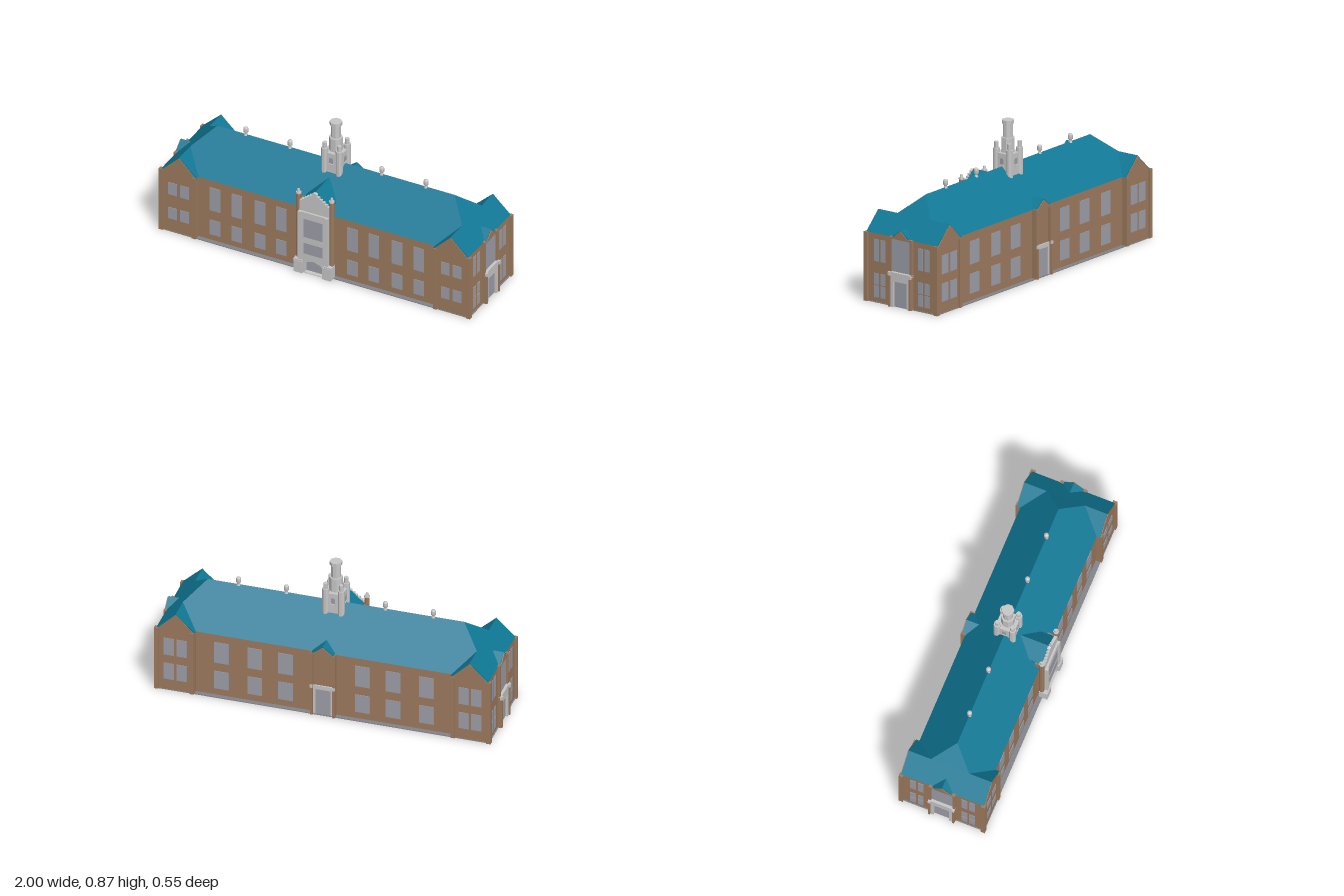
import * as THREE from 'three';

const colour = (name, hex) => {
  const m = new THREE.MeshStandardMaterial({ color: hex });
  m.name = name;
  return m;
};

export function createModel() {
  const brick = colour('brick', 0x9c7a5e);
  const roofing = colour('roofing', 0x0f7895);
  const stone = colour('stone', 0xc6c6c6);
  const glass = colour('glass', 0x9c9ea8);
  const foundation = colour('foundation', 0x808288);

  const model = new THREE.Group();
  const CZ = -0.01; // the plan is symmetric about this depth
  const EAVE = 0.402;

  const add = (parent, name, geo, mat, x = 0, y = 0, z = 0) => {
    const mesh = new THREE.Mesh(geo, mat);
    mesh.name = name;
    mesh.position.set(x, y, z);
    parent.add(mesh);
    return mesh;
  };
  const group = (name, parent = model) => {
    const g = new THREE.Group();
    g.name = name;
    parent.add(g);
    return g;
  };
  // box from its limits on each axis
  const box = (parent, name, mat, [x0, x1], [y0, y1], [z0, z1]) =>
    add(parent, name, new THREE.BoxGeometry(x1 - x0, y1 - y0, z1 - z0), mat,
      (x0 + x1) / 2, (y0 + y1) / 2, (z0 + z1) / 2);
  // the same box at +x and -x
  const pair = (parent, name, mat, [x0, x1], ys, zs) => {
    box(parent, name, mat, [x0, x1], ys, zs);
    box(parent, name, mat, [-x1, -x0], ys, zs);
  };
  // outline in x and y, extruded from z0 to z1
  const prism = (parent, name, mat, pts, z0, z1, hole) => {
    const shape = new THREE.Shape(pts.map(p => new THREE.Vector2(...p)));
    if (hole) shape.holes.push(new THREE.Path(hole.map(p => new THREE.Vector2(...p))));
    const geo = new THREE.ExtrudeGeometry(shape, { depth: z1 - z0, bevelEnabled: false });
    return add(parent, name, geo, mat, 0, 0, z0);
  };
  const gable = (parent, name, mat, cx, half, y0, y1, z0, z1) =>
    prism(parent, name, mat, [[cx - half, y0], [cx + half, y0], [cx, y1]], z0, z1);
  // octagonal post with flat sides facing the axes
  const octagon = (parent, name, mat, r, y0, y1, x, z, rTop = r) => {
    const geo = new THREE.CylinderGeometry(rTop * 1.08, r * 1.08, y1 - y0, 8).rotateY(Math.PI / 8).toNonIndexed();
    geo.computeVertexNormals();
    return add(parent, name, geo, mat, x, (y0 + y1) / 2, z);
  };

  // main block and base
  box(model, 'foundation', foundation, [-0.975, 0.975], [0, 0.004], [-0.263, 0.243]);
  box(model, 'mainWalls', brick, [-0.76, 0.76], [0.002, EAVE], [-0.235, 0.215]);

  // hipped main roof
  const a = [-0.97, EAVE, 0.22], b = [0.97, EAVE, 0.22], c = [0.97, EAVE, -0.24], d = [-0.97, EAVE, -0.24];
  const e = [-0.75, 0.61, CZ], f = [0.75, 0.61, CZ];
  const hip = new THREE.BufferGeometry();
  hip.setAttribute('position', new THREE.Float32BufferAttribute(
    [a, b, f, a, f, e, c, d, e, c, e, f, b, c, f, d, a, e, a, d, c, a, c, b].flat(), 3));
  hip.computeVertexNormals();
  add(model, 'mainRoof', hip, roofing);

  // cross wings with gabled ends
  for (const s of [-1, 1]) {
    const wing = group(s > 0 ? 'leftWing' : 'rightWing');
    const span = (p, q) => [Math.min(s * p, s * q), Math.max(s * p, s * q)];
    box(wing, 'wingWalls', brick, span(0.75, 0.97), [0.002, EAVE], [-0.26, 0.24]);
    gable(wing, 'wingRoof', roofing, s * 0.86, 0.112, EAVE, 0.506, -0.26, 0.24);
    for (const [z0, z1] of [[0.24, 0.244], [-0.264, -0.26]])
      gable(wing, 'gableWall', brick, s * 0.86, 0.108, EAVE - 0.005, 0.503, z0, z1);
    for (const [z0, z1] of [[0.225, 0.25], [-0.27, -0.245]]) {
      box(wing, 'cornerPier', brick, span(0.96, 0.985), [0, EAVE], [z0, z1]);
      box(wing, 'innerPier', brick, span(0.752, 0.775), [0, EAVE], [z0, z1]);
    }
    for (const x of [0.825, 0.9])
      for (const ys of [[0.085, 0.16], [0.245, 0.325]]) {
        box(wing, 'frontWingWindow', glass, span(x - 0.027, x + 0.027), ys, [0.238, 0.243]);
        box(wing, 'backWingWindow', glass, span(x - 0.03, x + 0.03), [ys[0] - 0.015, ys[1] + 0.015], [-0.263, -0.258]);
      }
  }

  // rows of windows on the long walls
  for (const x of [0.225, 0.36, 0.507, 0.645])
    for (const ys of [[0.04, 0.137], [0.2, 0.353]])
      pair(model, 'frontWindow', glass, [x - 0.033, x + 0.033], ys, [0.213, 0.218]);
  for (const x of [0.225, 0.405, 0.6])
    for (const ys of [[0.045, 0.16], [0.215, 0.35]])
      pair(model, 'backWindow', glass, [x - 0.043, x + 0.043], ys, [-0.238, -0.233]);

  // end facades, built facing +z then turned outward
  for (const s of [-1, 1]) {
    const end = group(s > 0 ? 'leftEnd' : 'rightEnd');
    end.position.z = CZ;
    end.rotation.y = s * Math.PI / 2;
    for (const x of [0.132, 0.178]) {
      for (const ys of [[0.03, 0.097], [0.104, 0.17], [0.24, 0.368]])
        pair(end, 'endWindow', glass, [x - 0.017, x + 0.017], ys, [0.968, 0.973]);
    }
    box(end, 'tallWindow', glass, [-0.065, 0.065], [0.205, 0.396], [0.968, 0.975]);
    box(end, 'lintel', brick, [-0.08, 0.08], [0.395, 0.406], [0.96, 0.985]);
    pair(end, 'pilaster', brick, [0.065, 0.08], [0, EAVE], [0.96, 0.985]);
    pair(end, 'doorJamb', stone, [0.047, 0.066], [0, 0.15], [0.96, 0.99]);
    box(end, 'doorHead', stone, [-0.066, 0.066], [0.15, 0.202], [0.96, 0.99]);
    box(end, 'door', glass, [-0.048, 0.048], [0.004, 0.151], [0.965, 0.978]);
    pair(end, 'buttress', brick, [0.066, 0.078], [0, 0.185], [0.97, 0.997]);
    pair(end, 'buttressCap', stone, [0.064, 0.08], [0.183, 0.204], [0.97, 1]);
    gable(end, 'endDormerRoof', roofing, 0, 0.064, EAVE, 0.453, 0.88, 0.981);
    gable(end, 'endDormerGable', brick, 0, 0.053, EAVE, 0.449, 0.979, 0.986);
  }

  // front entrance: stone bay with arched doorway and stepped gable
  const entry = group('frontEntrance');
  const arch = [[-0.055, 0.004], [-0.055, 0.06], [-0.045, 0.073], [0, 0.088], [0.045, 0.073], [0.055, 0.06], [0.055, 0.004]];
  box(entry, 'entranceWall', brick, [-0.1, 0.1], [0, 0.46], [0.19, 0.232]);
  prism(entry, 'stoneBay', stone, [[-0.092, 0], [0.092, 0], [0.092, EAVE], [-0.092, EAVE]], 0.23, 0.262, arch);
  box(entry, 'entranceDoor', glass, [-0.055, 0.055], [0.004, 0.088], [0.231, 0.236]);
  pair(entry, 'bayPilaster', stone, [0.074, 0.095], [0, EAVE], [0.25, 0.268]);
  pair(entry, 'bayPlinth', stone, [0.064, 0.118], [0, 0.075], [0.225, 0.275]);
  pair(entry, 'plinthCap', stone, [0.07, 0.12], [0.072, 0.085], [0.225, 0.273]);
  for (const ys of [[0.13, 0.2], [0.24, 0.36]])
    box(entry, 'bayWindow', glass, [-0.06, 0.06], ys, [0.26, 0.265]);
  const steps = [[0.092, EAVE], [0.092, 0.47]];
  for (let i = 0; i < 5; i++) {
    const y = 0.482 + i * 0.012;
    steps.push([0.08 - i * 0.016, y - 0.012], [0.08 - i * 0.016, y]);
  }
  const outline = [...steps, [0, 0.54], ...steps.map(([x, y]) => [-x, y]).reverse()];
  prism(entry, 'steppedGable', stone, outline, 0.232, 0.25);
  gable(entry, 'entranceRoof', roofing, 0, 0.092, 0.46, 0.541, 0.05, 0.235);
  pair(entry, 'dormerCheek', roofing, [0.085, 0.09], [0.39, 0.463], [0.12, 0.232]);
  for (const x of [-0.105, 0.105]) {
    octagon(entry, 'entrancePier', brick, 0.013, 0.08, 0.505, x, 0.237);
    octagon(entry, 'pierCap', stone, 0.015, 0.503, 0.512, x, 0.237);
    octagon(entry, 'pierFinial', stone, 0.01, 0.51, 0.532, x, 0.237, 0.006);
  }

  // back entrance
  const back = group('backEntrance');
  box(back, 'backBay', brick, [-0.065, 0.065], [0, EAVE], [-0.25, -0.23]);
  pair(back, 'backPier', brick, [0.056, 0.073], [0, EAVE], [-0.267, -0.23]);
  box(back, 'backLintel', brick, [-0.073, 0.073], [0.392, 0.406], [-0.262, -0.23]);
  pair(back, 'backDoorJamb', stone, [0.044, 0.057], [0, 0.17], [-0.258, -0.24]);
  box(back, 'backDoorHead', stone, [-0.057, 0.057], [0.165, 0.19], [-0.258, -0.24]);
  box(back, 'backDoor', glass, [-0.045, 0.045], [0.004, 0.166], [-0.254, -0.249]);
  pair(back, 'backButtress', brick, [0.058, 0.071], [0, 0.18], [-0.272, -0.24]);
  pair(back, 'backButtressCap', stone, [0.056, 0.073], [0.178, 0.196], [-0.273, -0.24]);
  gable(back, 'backDormerRoof', roofing, 0, 0.072, EAVE, 0.453, -0.26, -0.15);
  gable(back, 'backDormerGable', brick, 0, 0.06, EAVE, 0.448, -0.265, -0.259);

  // central tower
  const tower = group('tower');
  tower.position.z = CZ;
  box(tower, 'towerShaft', stone, [-0.056, 0.056], [0.5, 0.685], [-0.056, 0.056]);
  for (const x of [-0.046, 0.046])
    for (const z of [-0.046, 0.046]) {
      octagon(tower, 'cornerTurret', stone, 0.019, 0.5, 0.71, x, z);
      octagon(tower, 'turretPinnacle', stone, 0.012, 0.7, 0.746, x, z);
    }
  octagon(tower, 'towerDrum', stone, 0.036, 0.68, 0.77, 0, 0);
  octagon(tower, 'lantern', stone, 0.026, 0.765, 0.852, 0, 0);
  octagon(tower, 'lanternCap', stone, 0.033, 0.85, 0.871, 0, 0);
  for (let i = 0; i < 4; i++) {
    const face = group('towerFace', tower);
    face.rotation.y = i * Math.PI / 2;
    prism(face, 'towerWindow', glass, [[-0.012, 0.622], [0.012, 0.622], [0.012, 0.65], [0.008, 0.657], [-0.008, 0.657], [-0.012, 0.65]], 0.055, 0.059);
    box(face, 'towerSill', stone, [-0.014, 0.014], [0.612, 0.62], [0.055, 0.062]);
  }

  // ridge ventilators
  const ventProfile = [[0.012, 0], [0.008, 0.012], [0.008, 0.018], [0.014, 0.021], [0.014, 0.043], [0.01, 0.051], [0, 0.053]]
    .map(p => new THREE.Vector2(...p));
  for (const x of [-0.57, -0.29, 0.29, 0.57])
    add(model, 'ridgeVent', new THREE.LatheGeometry(ventProfile, 12), stone, x, 0.604, CZ);

  return model;
}
